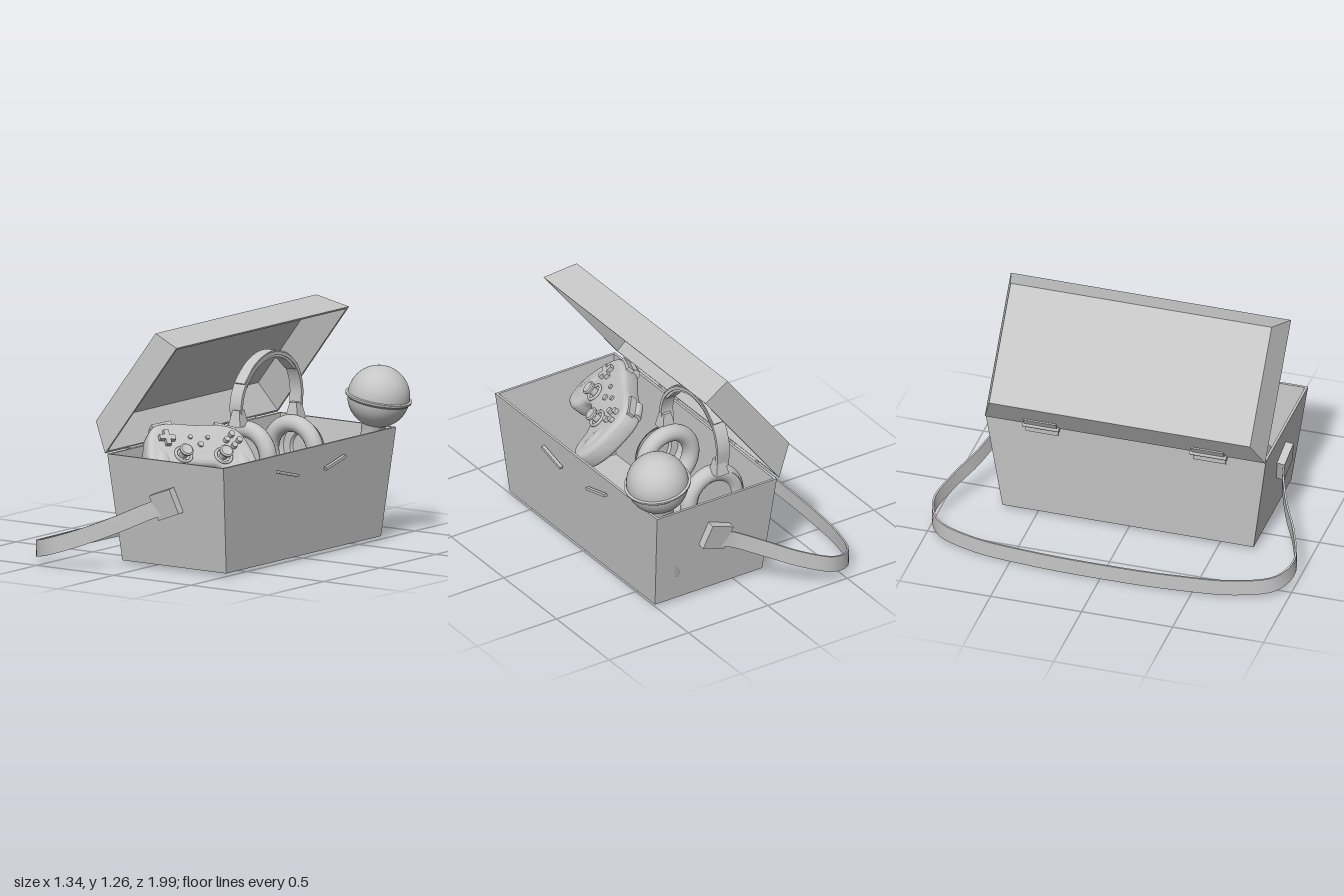
import * as THREE from 'three';
import { toCreasedNormals } from 'three/addons/utils/BufferGeometryUtils.js';

const V = (x, y, z) => new THREE.Vector3(x, y, z);

// Skin a list of four-corner rings, closing both ends
function loft(rings, crease) {
  const p = [];
  const quad = (a, b, c, d) => [a, b, c, a, c, d].forEach(v => p.push(v.x, v.y, v.z));
  for (let r = 0; r < rings.length - 1; r++) {
    const a = rings[r], b = rings[r + 1];
    for (let i = 0; i < 4; i++) {
      const j = (i + 1) % 4;
      quad(a[i], a[j], b[j], b[i]);
    }
  }
  const s = rings[0], e = rings[rings.length - 1];
  quad(s[3], s[2], s[1], s[0]);
  quad(e[0], e[1], e[2], e[3]);
  const g = new THREE.BufferGeometry();
  g.setAttribute('position', new THREE.Float32BufferAttribute(p, 3));
  return toCreasedNormals(g, crease);
}

// Hollow tapered box, open at the top (y = h)
function tray(bx, bz, tx, tz, h, wall) {
  const ring = (x, z, y) => [V(-x, y, -z), V(-x, y, z), V(x, y, z), V(x, y, -z)];
  return loft([ring(bx, bz, 0), ring(tx, tz, h),
    ring(tx - wall, tz - wall, h), ring(bx - wall, bz - wall, wall)], 0.1);
}

// Flat band swept along a curve, its width lying near the direction `across`
function band(points, width, thick, across, n) {
  const curve = new THREE.CatmullRomCurve3(points);
  const rings = [];
  for (let i = 0; i <= n; i++) {
    const c = curve.getPointAt(i / n), t = curve.getTangentAt(i / n);
    const w = across.clone().addScaledVector(t, -across.dot(t)).normalize();
    const d = t.clone().cross(w);
    rings.push([[-1, -1], [1, -1], [1, 1], [-1, 1]].map(([a, b]) =>
      c.clone().addScaledVector(w, a * width / 2).addScaledVector(d, b * thick / 2)));
  }
  return loft(rings, 0.6);
}

const lathe = (pts, seg = 40) =>
  toCreasedNormals(new THREE.LatheGeometry(pts.map(p => new THREE.Vector2(...p)), seg), 0.6);

export function createModel() {
  const model = new THREE.Group();
  const grey = new THREE.MeshStandardMaterial({ color: 0xc6c6c6 });
  grey.name = 'plainGrey';
  const add = (parent, name, geo, x = 0, y = 0, z = 0, rx = 0, ry = 0, rz = 0) => {
    const m = new THREE.Mesh(geo, grey);
    m.name = name;
    m.position.set(x, y, z);
    m.rotation.set(rx, ry, rz);
    parent.add(m);
    return m;
  };
  const group = name => {
    const g = new THREE.Group();
    g.name = name;
    model.add(g);
    return g;
  };
  const box = (x, y, z) => new THREE.BoxGeometry(x, y, z);

  // Chest and its open lid
  add(model, 'chest', tray(0.3375, 0.69, 0.3775, 0.77, 0.575, 0.014), 0.1675, 0.02, 0);
  const lidTurn = Math.atan2(-0.795, -0.606);
  add(model, 'lid', tray(0.32, 0.717, 0.383, 0.77, 0.171, 0.014), -0.1285, 1.004, 0, 0, 0, lidTurn);

  for (const s of [1, -1]) {
    // Slanted bars on the long side
    add(model, 'frontBar', box(0.018, 0.016, 0.18), 0.557, 0.488, s * 0.21, -s * 0.245);
    // Hinges
    add(model, 'hingeBarrel', new THREE.CylinderGeometry(0.014, 0.014, 0.2, 16), -0.227, 0.59, s * 0.46, Math.PI / 2);
    add(model, 'hingeLowerPlate', box(0.008, 0.05, 0.18), -0.211, 0.565, s * 0.46, 0, 0, 0.07);
    add(model, 'hingeUpperPlate', box(0.008, 0.05, 0.18), -0.243, 0.617, s * 0.46, 0, 0, 0.55);
    // Strap buckles
    add(model, 'strapBuckle', box(0.145, 0.14, 0.045), 0.165, 0.365, s * 0.758, s * 0.14, 0, 0.36);
  }

  // Carrying strap
  const half = [[0.15, 0.352, 0.765], [0.06, 0.315, 0.782], [-0.1, 0.238, 0.85], [-0.25, 0.172, 0.935],
    [-0.42, 0.112, 0.99], [-0.55, 0.078, 0.93], [-0.625, 0.058, 0.73], [-0.66, 0.049, 0.38]];
  const strapPath = [...half.map(p => V(...p)), V(-0.667, 0.046, 0),
    ...half.slice().reverse().map(([x, y, z]) => V(x, y, -z))];
  add(model, 'strap', band(strapPath, 0.088, 0.01, V(0, 1, 0), 96));

  // Ball-headed microphone
  const mic = group('microphone');
  mic.position.set(0.49, 0.765, -0.69);
  mic.rotation.set(-0.04, 0, -0.184);
  add(mic, 'ball', new THREE.SphereGeometry(0.165, 48, 32));
  add(mic, 'ballRim', lathe([[0.155, -0.03], [0.176, -0.012], [0.178, 0], [0.16, 0.004]], 48));
  add(mic, 'handle', lathe([[0, -0.62], [0.042, -0.62], [0.05, -0.6], [0.06, -0.2], [0.066, -0.15], [0.074, -0.13], [0, -0.12]]));

  // Headphones
  const phones = group('headphones');
  const arc = [[0.67, -0.075], [0.76, -0.066], [0.86, -0.105], [0.95, -0.2], [0.995, -0.33],
    [0.972, -0.46], [0.9, -0.555], [0.79, -0.6], [0.66, -0.595]];
  add(phones, 'headband', band(arc.map(([y, z]) => V(0.02, y, z)), 0.075, 0.018, V(1, 0, 0), 48));
  add(phones, 'headbandPadding', band(arc.slice(2, 7).map(([y, z]) => V(0.02, y - 0.003, z)), 0.065, 0.036, V(1, 0, 0), 32));
  const housing = lathe([[0, 0.075], [0.08, 0.075], [0.09, 0.062], [0.13, 0.06], [0.155, 0.04], [0.17, 0.01], [0.165, -0.01], [0, -0.01]]);
  for (const [s, y, z] of [[1, 0.48, -0.08], [-1, 0.45, -0.57]]) {
    add(phones, 'earCup', housing, 0.045, y, z, s * Math.PI / 2);
    add(phones, 'earPad', new THREE.TorusGeometry(0.146, 0.046, 20, 48), 0.045, y, z - s * 0.035);
    const yoke = new THREE.CylinderGeometry(0.032, 0.055, 0.085, 4, 1).toNonIndexed();
    yoke.rotateY(Math.PI / 4);
    yoke.computeVertexNormals();
    add(phones, 'yoke', yoke, 0.03, y + 0.21, z + s * 0.01);
  }

  // Game controller, built flat (face towards +z) and then tilted
  const pad = group('gameController');
  const right = V(0.5, -0.1, -0.86).normalize();
  const up = V(0.62, 0.7, 0.35).cross(right).normalize();
  pad.quaternion.setFromRotationMatrix(new THREE.Matrix4().makeBasis(right, up, right.clone().cross(up)));
  pad.position.set(0.095, 0.645, 0.365);
  const side = [[0.14, 0.085], [0.225, 0.06], [0.27, -0.04], [0.285, -0.17], [0.25, -0.265],
    [0.2, -0.26], [0.155, -0.18], [0.09, -0.13]];
  const outline = [[0, 0.08], ...side, [0, -0.125], ...side.slice().reverse().map(([x, y]) => [-x, y])];
  const loop = new THREE.CatmullRomCurve3(outline.map(([x, y]) => V(x, y, 0)), true);
  const shape = new THREE.Shape(loop.getPoints(90).slice(0, -1).map(p => new THREE.Vector2(p.x, p.y)));
  const body = new THREE.ExtrudeGeometry(shape, { depth: 0.05, bevelThickness: 0.035, bevelSize: 0.03, bevelSegments: 6 });
  add(pad, 'controllerBody', toCreasedNormals(body, 0.7), 0, 0, -0.09);
  for (const s of [1, -1]) {
    const grip = add(pad, 'grip', new THREE.SphereGeometry(1, 24, 16), s * 0.235, -0.15, -0.06, 0, 0, s * 0.12);
    grip.scale.set(0.062, 0.15, 0.065);
    add(pad, 'shoulderButton', box(0.12, 0.04, 0.04), s * 0.18, 0.1, -0.045, 0, 0, -s * 0.25);
    add(pad, 'trigger', new THREE.CylinderGeometry(0.03, 0.03, 0.09, 16), s * 0.18, 0.1, -0.09, 0, 0, Math.PI / 2 - s * 0.25);
    // Thumb sticks
    add(pad, 'stickBase', new THREE.TorusGeometry(0.044, 0.008, 10, 28), s * 0.115, -0.1, 0);
    add(pad, 'thumbStick', lathe([[0.022, -0.01], [0.02, 0.025], [0.036, 0.034], [0.038, 0.046], [0.03, 0.052], [0, 0.046]], 28),
      s * 0.115, -0.1, 0, Math.PI / 2);
    add(pad, 'menuButton', new THREE.CylinderGeometry(0.012, 0.012, 0.012, 16), s * 0.05, 0.015, 0, Math.PI / 2);
  }
  add(pad, 'homeButton', new THREE.CylinderGeometry(0.016, 0.016, 0.012, 20), 0, -0.03, 0, Math.PI / 2);
  // Direction pad and four round buttons
  add(pad, 'directionPad', box(0.09, 0.028, 0.03), -0.19, 0, 0.003);
  add(pad, 'directionPad', box(0.028, 0.09, 0.03), -0.19, 0, 0.003);
  for (let i = 0; i < 4; i++) {
    const a = i * Math.PI / 2;
    add(pad, 'roundButton', new THREE.CylinderGeometry(0.016, 0.016, 0.03, 20),
      0.19 + 0.036 * Math.cos(a), 0.036 * Math.sin(a), 0.003, Math.PI / 2);
  }
  return model;
}
